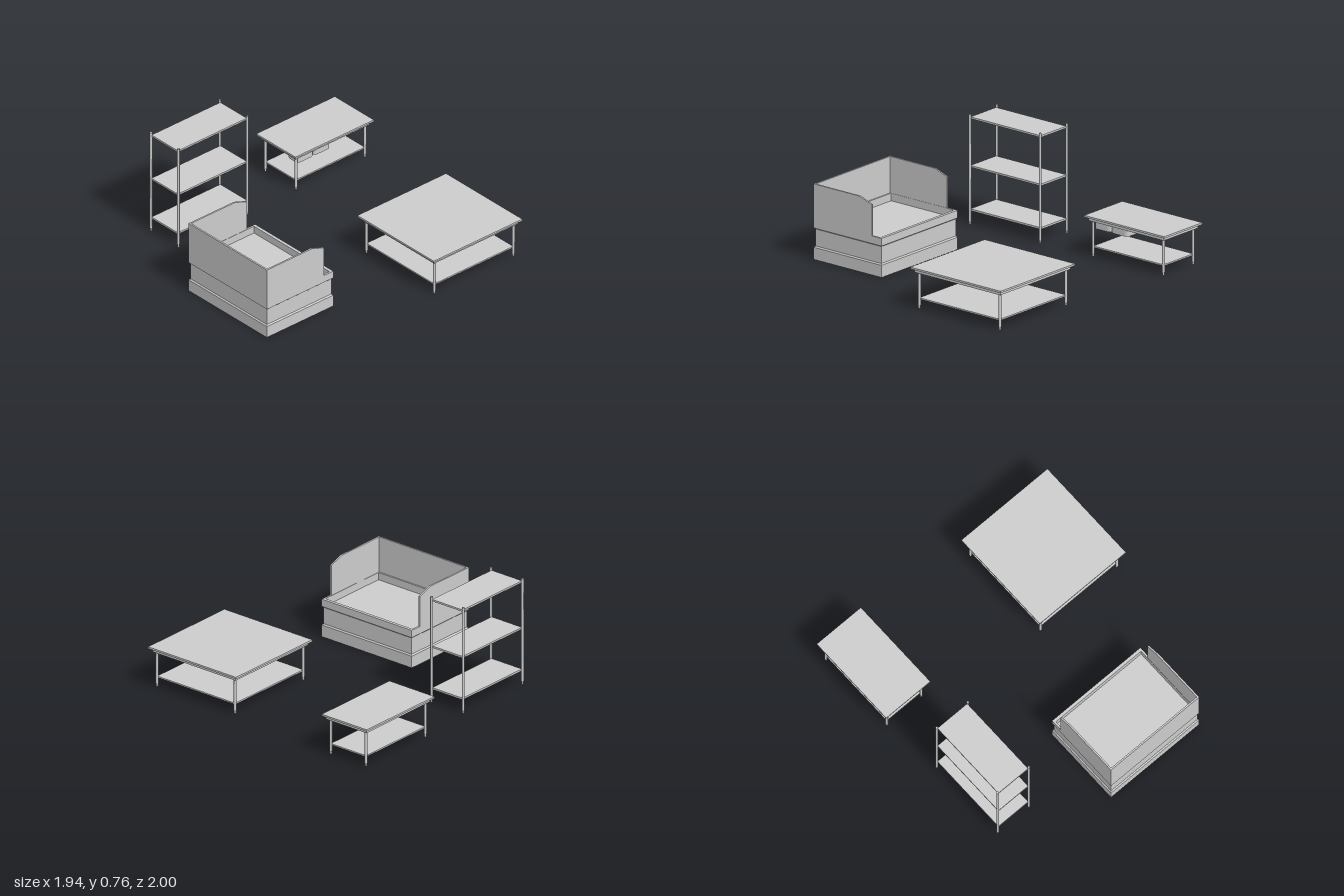
import * as THREE from 'three';

const mat = new THREE.MeshStandardMaterial({ color: 0xcccccc, side: THREE.DoubleSide });

function add(parent, name, geometry) {
  const m = new THREE.Mesh(geometry, mat);
  m.name = name;
  parent.add(m);
  return m;
}

// Box given by its limits; the top or bottom face may be drawn inward to bevel it
function slab(x0, x1, y0, y1, z0, z1, topInset = 0, bottomInset = 0) {
  const g = new THREE.BoxGeometry(x1 - x0, y1 - y0, z1 - z0);
  const p = g.attributes.position;
  for (let i = 0; i < p.count; i++) {
    const d = p.getY(i) > 0 ? topInset : bottomInset;
    p.setX(i, p.getX(i) - Math.sign(p.getX(i)) * d);
    p.setZ(i, p.getZ(i) - Math.sign(p.getZ(i)) * d);
  }
  g.translate((x0 + x1) / 2, (y0 + y1) / 2, (z0 + z1) / 2);
  g.computeVertexNormals();
  return g;
}

// Open rectangular frame standing from y0 to y1
function frame(x0, x1, y0, y1, z0, z1, tx, tz) {
  const rect = (C, a, b, c, d) => {
    const s = new C();
    s.moveTo(a, c); s.lineTo(b, c); s.lineTo(b, d); s.lineTo(a, d); s.closePath();
    return s;
  };
  const shape = rect(THREE.Shape, x0, x1, -z1, -z0);
  shape.holes.push(rect(THREE.Path, x0 + tx, x1 - tx, -z1 + tz, -z0 - tz));
  return new THREE.ExtrudeGeometry(shape, { depth: y1 - y0, bevelEnabled: false })
    .rotateX(-Math.PI / 2).translate(0, y0, 0);
}

// Round post with a slightly narrower foot
function post(r, h) {
  const pts = [[0, 0], [r * 0.75, 0], [r * 0.75, 0.015], [r, 0.022], [r, h], [0, h]];
  const flat = [];
  pts.forEach(([a, b], i) => {
    if (i) flat.push(new THREE.LatheGeometry(
      [new THREE.Vector2(...pts[i - 1]), new THREE.Vector2(a, b)], 14));
  });
  return flat;
}

function posts(parent, name, xs, zs, r, h) {
  for (const x of xs) for (const z of zs) {
    const g = new THREE.Group();
    g.name = name;
    post(r, h).forEach((geo) => add(g, name + 'Section', geo));
    g.position.set(x, 0, z);
    parent.add(g);
  }
}

// Work table: plate, hollow apron, four legs, low shelf
function table(name, x0, x1, z0, z1) {
  const g = new THREE.Group();
  g.name = name;
  const e = 0.02, l = 0.042;
  add(g, 'tableTop', slab(x0, x1, 0.272, 0.285, z0, z1));
  add(g, 'apron', frame(x0 + e, x1 - e, 0.248, 0.272, z0 + e, z1 - e, 0.008, 0.008));
  posts(g, 'leg', [x0 + l, x1 - l], [z0 + l, z1 - l], 0.01, 0.272);
  add(g, 'lowerShelf', slab(x0 + l, x1 - l, 0.062, 0.072, z0 + l, z1 - l));
  return g;
}

// Rounded tub hung below the small table
function tub(x0, x1, y0, y1, z0, z1, r) {
  const s = new THREE.Shape();
  s.moveTo(x0 + r, -z1);
  s.lineTo(x1 - r, -z1); s.quadraticCurveTo(x1, -z1, x1, -z1 + r);
  s.lineTo(x1, -z0 - r); s.quadraticCurveTo(x1, -z0, x1 - r, -z0);
  s.lineTo(x0 + r, -z0); s.quadraticCurveTo(x0, -z0, x0, -z0 - r);
  s.lineTo(x0, -z1 + r); s.quadraticCurveTo(x0, -z1, x0 + r, -z1);
  return new THREE.ExtrudeGeometry(s, { depth: y1 - y0, bevelEnabled: false, curveSegments: 8 })
    .rotateX(-Math.PI / 2).translate(0, y0, 0);
}

// Shelf rack: four tall posts and three plates
function rack() {
  const g = new THREE.Group();
  g.name = 'shelfRack';
  const x0 = -0.885, x1 = -0.615, z0 = 0.088, z1 = 0.692;
  posts(g, 'rackPost', [x0, x1], [z0, z1], 0.009, 0.76);
  for (const y of [0.1, 0.4, 0.735])
    add(g, 'rackShelf', slab(x0 + 0.005, x1 - 0.005, y - 0.007, y + 0.006, z0, z1));
  return g;
}

// Service counter: plinth, recessed band, rim and three-sided screen
function counter() {
  const g = new THREE.Group();
  g.name = 'counter';
  const x0 = -0.168, x1 = 0.603, z0 = 0.417, z1 = 1, b = 0.009;
  add(g, 'plinth', slab(x0, x1, 0, 0.084, z0, z1));
  add(g, 'plinthBevel', slab(x0, x1, 0.084, 0.093, z0, z1, b));
  add(g, 'band', slab(x0 + b, x1 - b, 0.093, 0.21, z0 + b, z1 - b));
  add(g, 'rimBevel', slab(x0, x1, 0.21, 0.218, z0, z1, 0, b));
  add(g, 'rim', frame(x0, x1, 0.218, 0.27, z0, z1, 0.014, 0.022));
  const s = new THREE.Shape();
  s.moveTo(0.5, 0.27); s.lineTo(z1, 0.27); s.lineTo(z1, 0.522);
  s.lineTo(0.605, 0.522); s.lineTo(0.5, 0.485); s.closePath();
  const t = 0.012;
  for (const x of [x0 + t, x1])
    add(g, 'sideScreen', new THREE.ExtrudeGeometry(s, { depth: t, bevelEnabled: false })
      .rotateY(-Math.PI / 2).translate(x, 0, 0));
  add(g, 'frontScreen', slab(x0 + t, x1 - t, 0.27, 0.522, z1 - t, z1));
  return g;
}

export function createModel() {
  const model = new THREE.Group();
  model.name = 'kitchenFurniture';
  const small = table('smallTable', -0.975, -0.59, -1, -0.312);
  for (const z of [-0.652, -0.507])
    add(small, 'tub', tub(-0.73, -0.625, 0.198, 0.272, z, z + 0.143, 0.03));
  model.add(small, table('largeTable', 0.215, 0.967, -0.917, -0.14), rack(), counter());
  return model;
}
